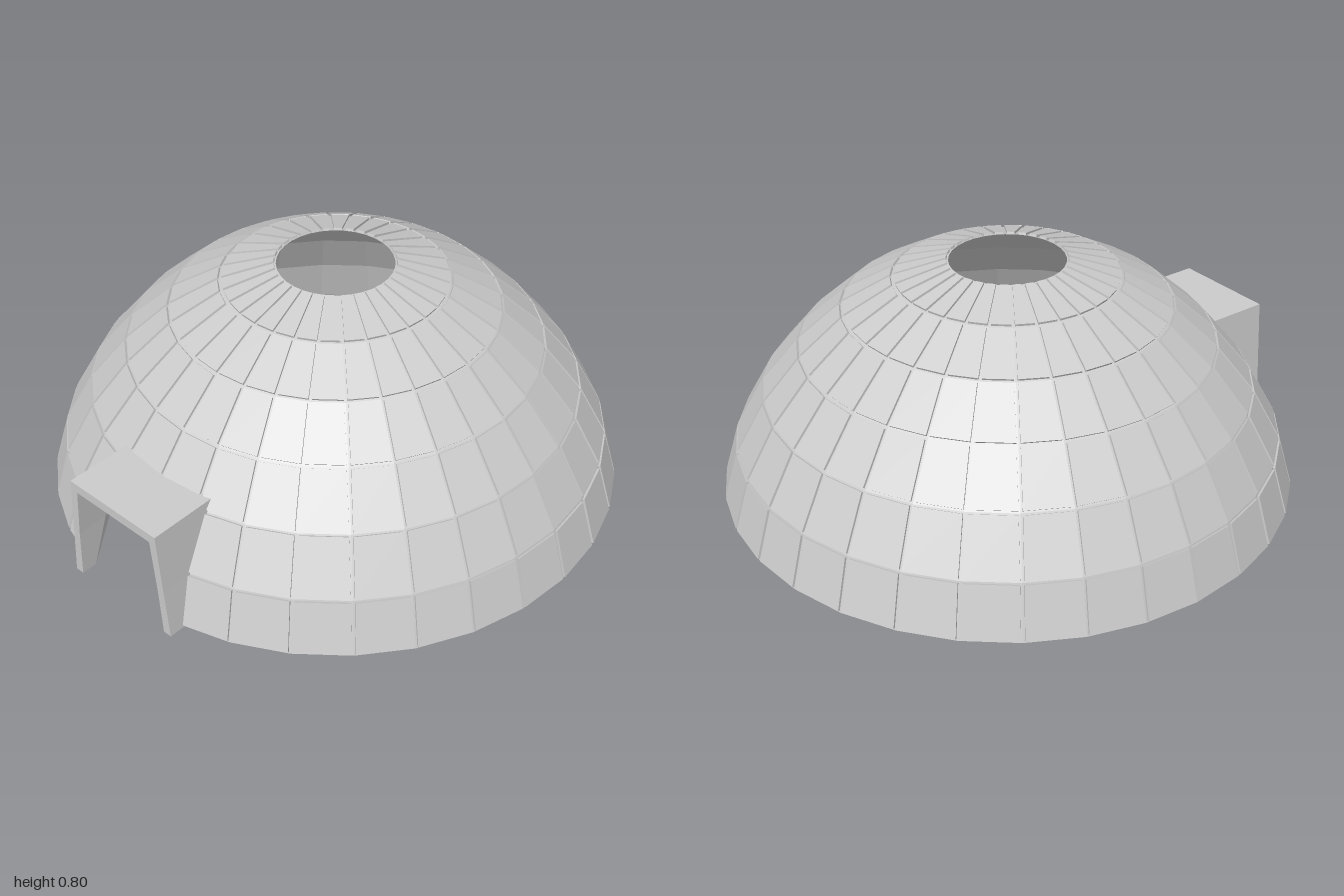
import * as THREE from 'three';

const SEGMENTS = 32;
const CENTER_Z = -0.01;
const RAISE = 0.008; // how far the panels stand off the shell
const GAP = 0.006; // half the width of a groove
// dome rings from the ground up: [radius, height]
const RINGS = [[0.98, 0], [0.926, 0.18], [0.826, 0.357], [0.698, 0.51], [0.55, 0.64], [0.379, 0.735], [0.195, 0.79]];

const material = new THREE.MeshStandardMaterial({ color: 0xcccccc, flatShading: true, side: THREE.DoubleSide });

function ringPoint(ring, column) {
  const [r, y] = RINGS[ring];
  const a = (column / SEGMENTS) * Math.PI * 2;
  return new THREE.Vector3(r * Math.sin(a), y, r * Math.cos(a) + CENTER_Z);
}

// the doorway takes the two front columns of the two lowest rows
function isDoorway(row, column) {
  return row < 2 && (column === 0 || column === SEGMENTS - 1);
}

function addQuad(out, a, b, c, d) {
  for (const p of [a, b, c, a, c, d]) out.push(p.x, p.y, p.z);
}

function meshFrom(positions, name) {
  const geometry = new THREE.BufferGeometry();
  geometry.setAttribute('position', new THREE.Float32BufferAttribute(positions, 3));
  geometry.computeVertexNormals();
  const mesh = new THREE.Mesh(geometry, material);
  mesh.name = name;
  return mesh;
}

// pull the corners of a cell inward by GAP and push them out along the normal
function panelCorners([a, b, c, d], normal) {
  const mid = (p, q) => p.clone().add(q).multiplyScalar(0.5);
  const up = mid(c, d).sub(mid(a, b)).normalize().multiplyScalar(GAP);
  const across = b.clone().sub(a).normalize().multiplyScalar(GAP);
  const lift = normal.clone().multiplyScalar(RAISE);
  const move = (p, sx, sy) => p.clone().addScaledVector(across, sx).addScaledVector(up, sy);
  const foot = [move(a, 1, 1), move(b, -1, 1), move(c, -1, -1), move(d, 1, -1)];
  return { foot, top: foot.map((p) => p.clone().add(lift)) };
}

function buildDome() {
  const dome = new THREE.Group();
  dome.name = 'dome';
  const shell = [];
  const panels = [];
  for (let row = 0; row < RINGS.length - 1; row++) {
    for (let col = 0; col < SEGMENTS; col++) {
      if (isDoorway(row, col)) continue;
      const cell = [ringPoint(row, col), ringPoint(row, col + 1), ringPoint(row + 1, col + 1), ringPoint(row + 1, col)];
      addQuad(shell, ...cell);
      const normal = cell[1].clone().sub(cell[0]).cross(cell[3].clone().sub(cell[0])).normalize();
      const { foot, top } = panelCorners(cell, normal);
      addQuad(panels, ...top);
      for (let i = 0; i < 4; i++) {
        const j = (i + 1) % 4;
        addQuad(panels, foot[i], foot[j], top[j], top[i]);
      }
    }
  }
  dome.add(meshFrom(shell, 'shell'), meshFrom(panels, 'raisedPanels'));
  return dome;
}

function domeRadius(y) {
  let i = 0;
  while (i < RINGS.length - 2 && y > RINGS[i + 1][1]) i++;
  const [r0, y0] = RINGS[i];
  const [r1, y1] = RINGS[i + 1];
  return THREE.MathUtils.mapLinear(y, y0, y1, r0, r1);
}

// tapered door frame whose back edge follows the dome
function buildDoorFrame() {
  const half = [[0.222, 0], [0.207, 0.18], [0.19, 0.395], [0, 0.395]];
  const inner = [[0, 0.362], [0.163, 0.362], [0.18, 0.18], [0.191, 0]];
  const mirror = (list) => list.filter(([x]) => x > 0).map(([x, y]) => [-x, y]).reverse();
  const outline = [...half, ...mirror(half), ...mirror(inner), ...inner];
  const shape = new THREE.Shape(outline.map(([x, y]) => new THREE.Vector2(x, y)));
  const geometry = new THREE.ExtrudeGeometry(shape, { depth: 1, bevelEnabled: false });
  const pos = geometry.attributes.position;
  for (let i = 0; i < pos.count; i++) {
    if (pos.getZ(i) > 0.5) continue;
    const r = domeRadius(pos.getY(i));
    const x = pos.getX(i);
    pos.setZ(i, Math.sqrt(r * r - x * x) + CENTER_Z - 0.005);
  }
  geometry.computeVertexNormals();
  const frame = new THREE.Mesh(geometry, material);
  frame.name = 'doorFrame';
  return frame;
}

export function createModel() {
  const model = new THREE.Group();
  model.name = 'domeHut';
  model.add(buildDome(), buildDoorFrame());
  return model;
}
